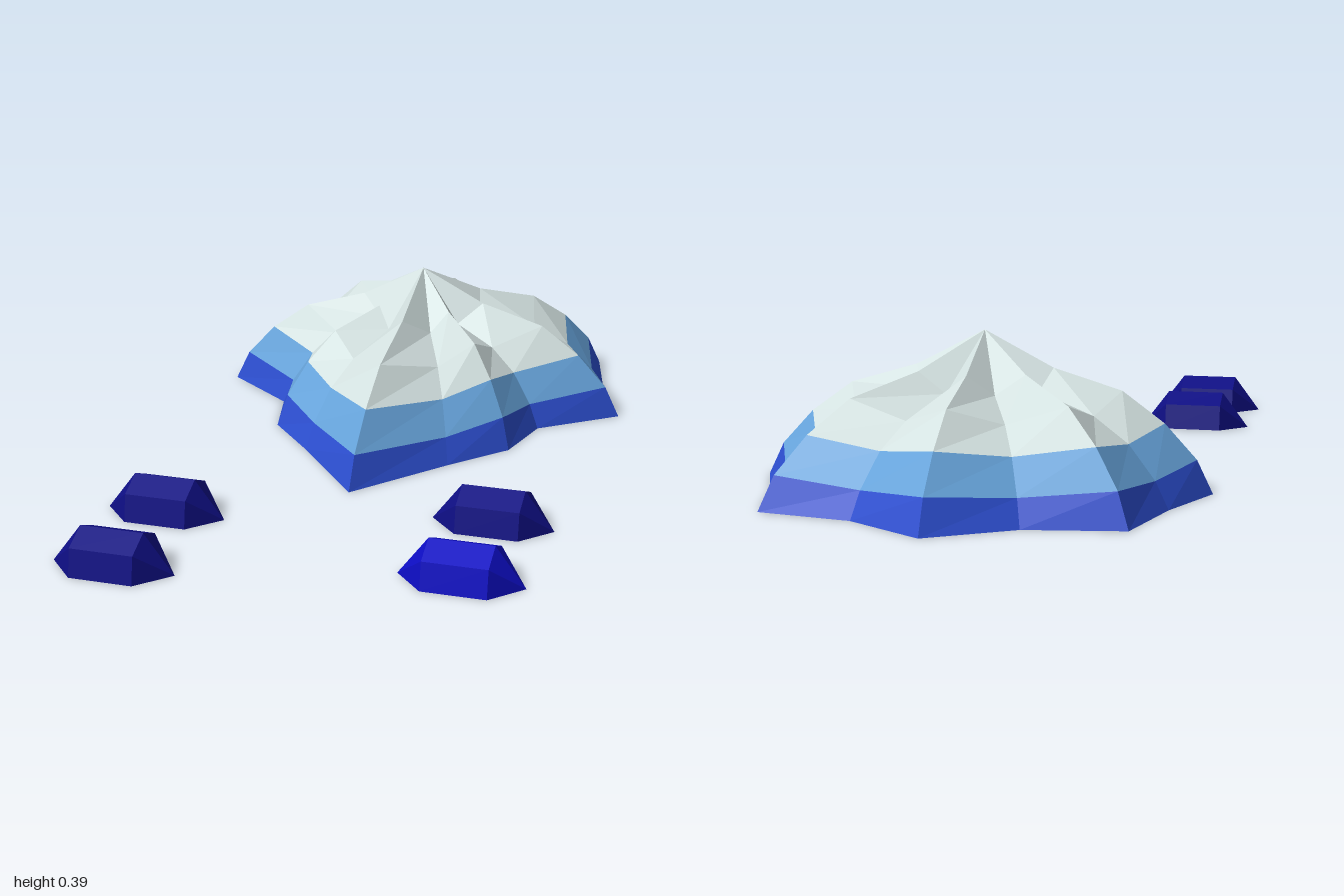
import * as THREE from 'three';

const material = (name, color) => {
  const m = new THREE.MeshStandardMaterial({ color, flatShading: true });
  m.name = name;
  return m;
};

// Faceted mesh from quads and triangles of Vector3 corners
function facetMesh(name, faces, mat) {
  const pts = [];
  for (const f of faces) {
    for (let i = 1; i < f.length - 1; i++) pts.push(f[0], f[i], f[i + 1]);
  }
  const geo = new THREE.BufferGeometry().setFromPoints(pts);
  geo.computeVertexNormals();
  const mesh = new THREE.Mesh(geo, mat);
  mesh.name = name;
  return mesh;
}

// Star-shaped shell: radii from the front tip round to the back tip, mirrored
function createShell(blue, skyBlue, pale) {
  const half = [0.727, 0.522, 0.471, 0.407, 0.578, 0.54, 0.627, 0.525, 0.618];
  const N = 16, centreZ = -0.382;
  // Each level: radius factor, ridge height and valley height
  const levels = [
    [1, 0, 0], [0.93, 0.084, 0.066], [0.79, 0.172, 0.147],
    [0.605, 0.25, 0.205], [0.305, 0.302, 0.25], [0, 0.393, 0.393],
  ];
  const rings = levels.map(([k, ridge, valley]) =>
    Array.from({ length: N }, (_, i) => {
      const r = half[i <= 8 ? i : N - i] * k;
      const a = (i / N) * Math.PI * 2;
      return new THREE.Vector3(r * Math.sin(a), i % 2 ? valley : ridge, centreZ + r * Math.cos(a));
    }));
  const band = (l) => rings[l].map((p, i) => {
    const j = (i + 1) % N;
    return l === 4
      ? [p, rings[l][j], rings[5][0]]
      : [p, rings[l][j], rings[l + 1][j], rings[l + 1][i]];
  });
  const centre = new THREE.Vector3(0, 0, centreZ);
  const underside = rings[0].map((p, i) => [centre, rings[0][(i + 1) % N], p]);

  const shell = new THREE.Group();
  shell.name = 'shell';
  shell.add(
    facetMesh('shellRim', band(0), blue),
    facetMesh('shellUnderside', underside, blue),
    facetMesh('shellMiddleBand', band(1), skyBlue),
    facetMesh('shellTop', [2, 3, 4].flatMap(band), pale),
  );
  return shell;
}

// Low block with an arched section and pointed ends
function createPebble(name, mat) {
  const section = [[0, 0.08], [0.07, 0.067], [0.1, 0], [0.07, -0.067], [0, -0.08]];
  const ring = (x) => section.map(([y, z]) => new THREE.Vector3(x, y, z));
  const a = ring(-0.08), b = ring(0.08);
  const tipA = new THREE.Vector3(-0.155, 0, 0), tipB = new THREE.Vector3(0.155, 0, 0);
  const faces = [];
  for (let i = 0; i < section.length; i++) {
    const j = (i + 1) % section.length;
    faces.push([a[i], b[i], b[j], a[j]], [tipB, b[j], b[i]], [tipA, a[i], a[j]]);
  }
  return facetMesh(name, faces, mat);
}

export function createModel() {
  const blue = material('royalBlue', 0x2c4ecf);
  const skyBlue = material('skyBlue', 0x66a3da);
  const pale = material('paleGrey', 0xd3e1e0);
  const navy = material('navy', 0x0e0e84);
  const brightBlue = material('brightBlue', 0x0d0dc4);

  const model = new THREE.Group();
  model.name = 'shellWithPebbles';
  model.add(createShell(blue, skyBlue, pale));

  // Staggered pebbles in front of the shell
  const pebbles = [
    ['leftRearPebble', 0.403, 0.433, navy],
    ['rightRearPebble', -0.403, 0.595, navy],
    ['leftFrontPebble', 0.403, 0.757, brightBlue],
    ['rightFrontPebble', -0.403, 0.919, navy],
  ];
  for (const [name, x, z, mat] of pebbles) {
    const pebble = createPebble(name, mat);
    pebble.position.set(x, 0, z);
    model.add(pebble);
  }
  return model;
}
